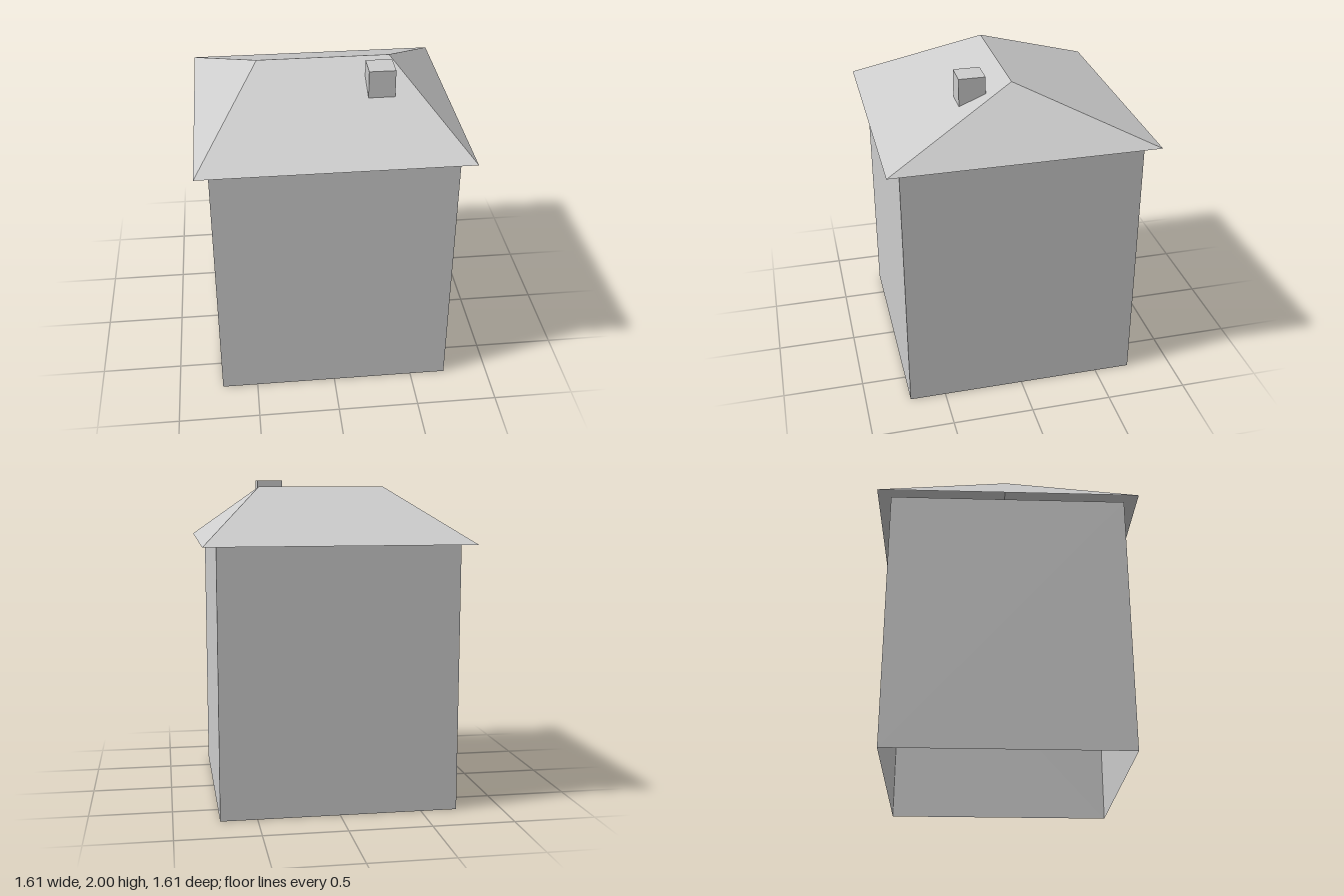
import * as THREE from 'three';

const WALL = 0.723, EAVE = 0.803, EAVE_Y = 1.626, RIDGE = 0.405, RIDGE_Y = 1.96;

// Flat-shaded surface from convex polygons whose corners run counter-clockwise
function faces(polygons) {
  const points = [];
  for (const p of polygons) {
    for (let i = 1; i < p.length - 1; i++) points.push(...p[0], ...p[i], ...p[i + 1]);
  }
  const geometry = new THREE.BufferGeometry();
  geometry.setAttribute('position', new THREE.Float32BufferAttribute(points, 3));
  geometry.computeVertexNormals();
  return geometry;
}

export function createModel() {
  const group = new THREE.Group();
  group.name = 'house';
  const grey = new THREE.MeshStandardMaterial({ color: 0xcccccc, side: THREE.DoubleSide, flatShading: true });
  grey.name = 'plain grey';

  const add = (name, geometry) => {
    const mesh = new THREE.Mesh(geometry, grey);
    mesh.name = name;
    group.add(mesh);
    return mesh;
  };

  // Four walls, open at the top and the bottom
  const corners = [[WALL, WALL], [WALL, -WALL], [-WALL, -WALL], [-WALL, WALL]];
  add('walls', faces(corners.map(([x, z], i) => {
    const [x2, z2] = corners[(i + 1) % 4];
    return [[x, 0, z], [x2, 0, z2], [x2, EAVE_Y, z2], [x, EAVE_Y, z]];
  })));

  // Hipped roof, open underneath: two long slopes and two hip ends
  const slopes = [];
  for (const s of [1, -1]) {
    const a = [-s * EAVE, EAVE_Y, s * EAVE];
    const b = [s * EAVE, EAVE_Y, s * EAVE];
    const c = [s * EAVE, EAVE_Y, -s * EAVE];
    const near = [s * RIDGE, RIDGE_Y, 0], far = [-s * RIDGE, RIDGE_Y, 0];
    slopes.push([a, b, near, far], [b, c, near]);
  }
  add('roof', faces(slopes));

  // Chimney, sunk into the front slope
  add('chimney', new THREE.BoxGeometry(0.16, 0.18, 0.16)).position.set(0.318, 1.91, 0.232);

  return group;
}
